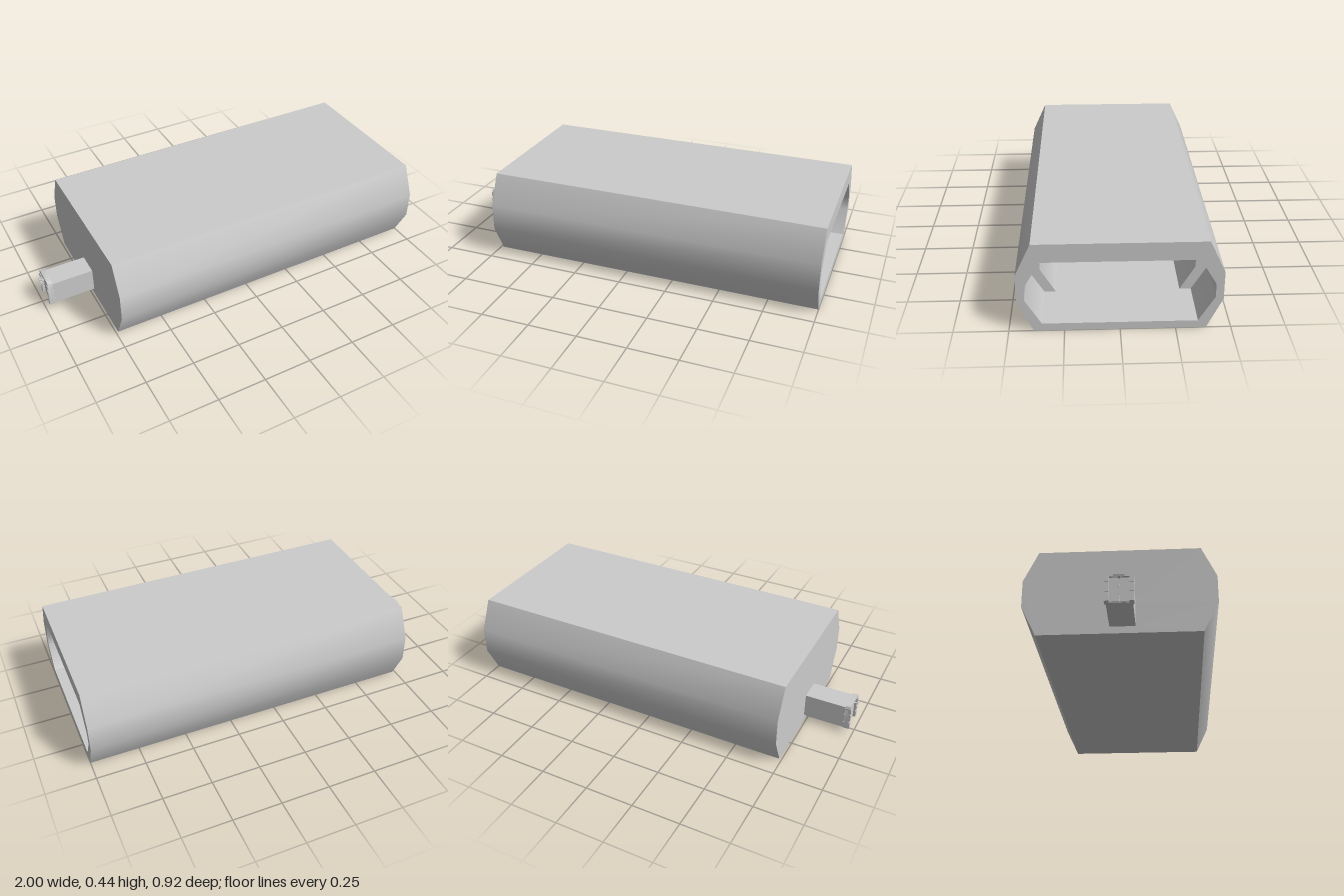
import * as THREE from 'three';
import { toCreasedNormals } from 'three/addons/utils/BufferGeometryUtils.js';

const material = new THREE.MeshStandardMaterial({ color: 0xcccccc });
const DOOR_Z = 0.015;

// Points are [z, y]; the shape is later swept along +x.
// Outlines run counterclockwise once reversed, so that hole walls face inwards.
const toPoints = (pts) => pts.map(([z, y]) => new THREE.Vector2(-z, y));
const mirror = (half) => [...half, ...half.slice().reverse().map(([z, y]) => [-z, y])];

function sweep(name, outline, x0, x1, hole) {
  const shape = new THREE.Shape(toPoints(outline).reverse());
  if (hole) shape.holes.push(new THREE.Path(toPoints(hole)));
  const geo = new THREE.ExtrudeGeometry(shape, { depth: x1 - x0, bevelEnabled: false });
  geo.rotateY(Math.PI / 2);
  geo.translate(x0, 0, 0);
  const mesh = new THREE.Mesh(toCreasedNormals(geo, 0.6), material);
  mesh.name = name;
  return mesh;
}

function box(name, x0, x1, y0, y1, z0, z1) {
  const mesh = new THREE.Mesh(new THREE.BoxGeometry(x1 - x0, y1 - y0, z1 - z0), material);
  mesh.name = name;
  mesh.position.set((x0 + x1) / 2, (y0 + y1) / 2, (z0 + z1) / 2);
  return mesh;
}

// Arch outline around the doorway centre, with clipped top corners
const arch = (half, y0, y1, clip) => [
  [half, y0], [half, y1 - clip], [half - clip * 0.3, y1 - clip * 0.3], [half - clip, y1],
  [-half + clip, y1], [-half + clip * 0.3, y1 - clip * 0.3], [-half, y1 - clip], [-half, y0],
].map(([z, y]) => [z + DOOR_Z, y]);

const rect = (half, y0, y1) =>
  [[half, y0], [half, y1], [-half, y1], [-half, y0]].map(([z, y]) => [z + DOOR_Z, y]);

// U-shaped door frame whose posts carry thicker blocks
function doorFrame(name, x0, x1) {
  const group = new THREE.Group();
  group.name = name;
  const outer = arch(0.066, 0.035, 0.175, 0.02);
  const inner = rect(0.045, 0.035, 0.157);
  group.add(sweep('frameArch', [...outer, ...inner.reverse()], x0, x1));
  for (const side of [-1, 1]) {
    for (const [y0, y1] of [[0.035, 0.07], [0.082, 0.12], [0.13, 0.155]]) {
      const z = DOOR_Z + side * 0.0555;
      group.add(box('postBlock', x0 - 0.004, x1 + 0.004, y0, y1, z - 0.0105, z + 0.0105));
    }
  }
  return group;
}

export function createModel() {
  const model = new THREE.Group();

  // Hull: eight-sided shell with a recessed ceiling channel
  const outer = mirror([[0.388, 0], [0.46, 0.15], [0.46, 0.288], [0.388, 0.443]]);
  const bore = [
    [0.35, 0.037], [0.424, 0.16], [0.424, 0.228], [0.35, 0.353],
    [0.16, 0.353], [0.16, 0.4], [-0.2, 0.4], [-0.2, 0.353],
    [-0.35, 0.353], [-0.424, 0.228], [-0.424, 0.16], [-0.35, 0.037],
  ];
  model.add(sweep('hullShell', outer, -0.735, 1, bore));
  model.add(sweep('endWall', outer, -0.738, -0.735, rect(0.046, 0.037, 0.157)));
  model.add(box('frontLintel', 0.95, 1, 0.353, 0.401, -0.2, 0.16));
  model.add(box('rearLintel', -0.735, -0.6, 0.353, 0.401, -0.2, 0.16));

  // Thicker wall linings, set back from the open end
  const lining = [
    [0.295, 0.036], [0.368, 0.16], [0.368, 0.275], [0.325, 0.354],
    [0.35, 0.354], [0.425, 0.228], [0.425, 0.16], [0.35, 0.036],
  ];
  model.add(sweep('leftLining', lining, -0.735, 0.74));
  model.add(sweep('rightLining', lining.map(([z, y]) => [-z, y]), -0.735, 0.74));

  // Entry passage with a frame at each end
  model.add(sweep('passage', rect(0.06, 0.035, 0.16), -0.96, -0.737, rect(0.046, 0.037, 0.157)));
  model.add(doorFrame('outerDoorFrame', -0.978, -0.952));
  model.add(doorFrame('innerDoorFrame', -0.73, -0.71));

  // Two interlocking door leaves
  const seam = [[0.018, 0.037], [0.018, 0.073], [0.008, 0.08], [0.008, 0.105], [0.018, 0.115], [0.018, 0.157]];
  for (const [name, edge, gap] of [['leftDoor', 0.061, 0.0006], ['rightDoor', -0.031, -0.0006]]) {
    const leaf = [[edge, 0.037], ...seam.map(([z, y]) => [z + gap, y]), [edge, 0.157]];
    model.add(sweep(name, leaf, -0.968, -0.96));
  }

  // Small lamp over the outer door
  model.add(box('lampBar', -1, -0.992, 0.153, 0.157, DOOR_Z - 0.025, DOOR_Z + 0.025));
  model.add(box('lampArm', -0.996, -0.965, 0.151, 0.161, DOOR_Z - 0.004, DOOR_Z + 0.004));

  return model;
}
